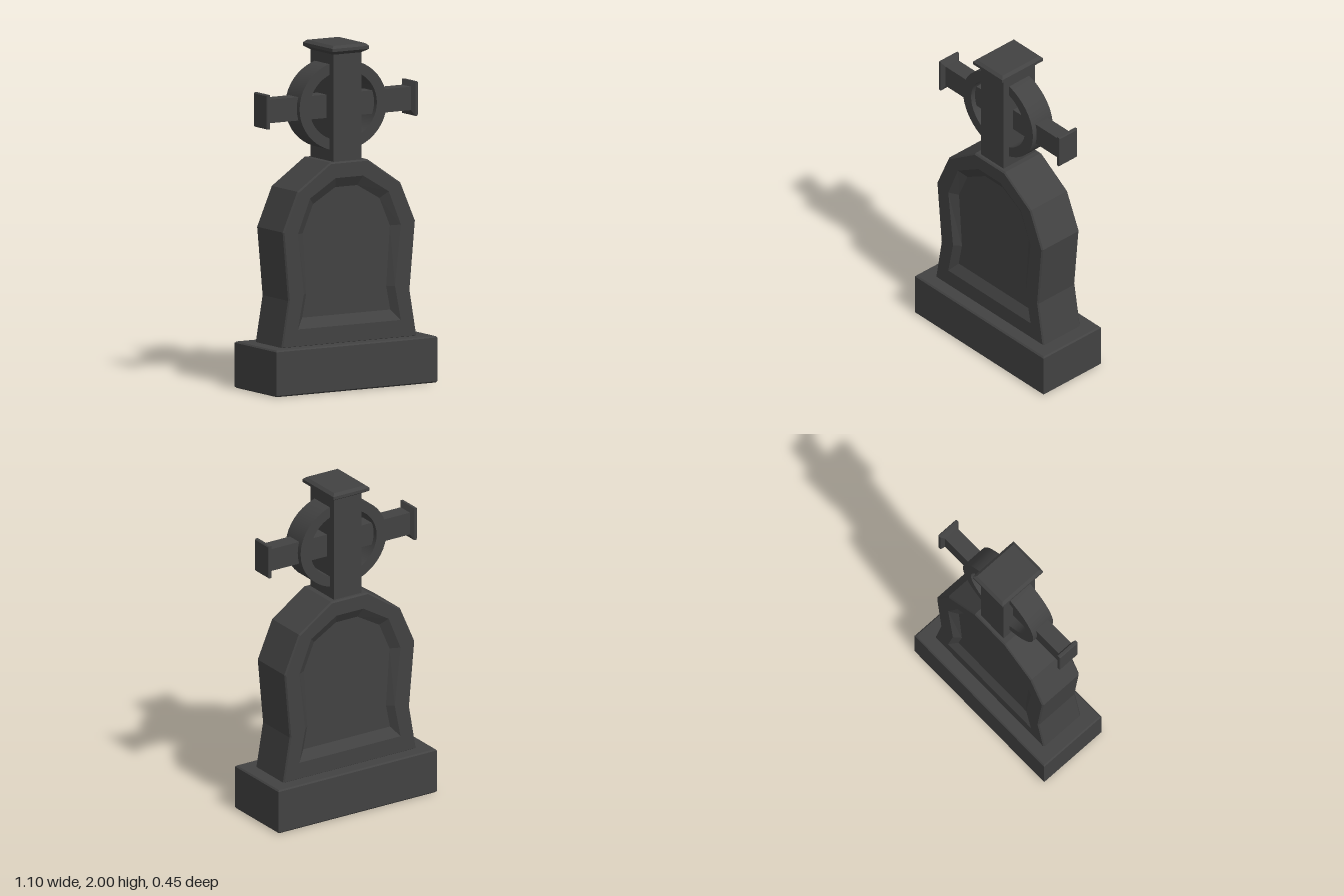
import * as THREE from 'three';
import { toCreasedNormals } from 'three/addons/utils/BufferGeometryUtils.js';

// Skin a stack of counter-clockwise loops [{ z, pts }] along z, with fan caps at both ends.
function loft(loops, centerY = 0) {
  const pos = [];
  const n = loops[0].pts.length;
  const at = (l, i) => [...l.pts[i % n], l.z];
  for (let k = 0; k < loops.length - 1; k++) {
    for (let i = 0; i < n; i++) {
      const a = at(loops[k], i), b = at(loops[k], i + 1);
      const c = at(loops[k + 1], i + 1), d = at(loops[k + 1], i);
      pos.push(...a, ...b, ...c, ...a, ...c, ...d);
    }
  }
  const first = loops[0], last = loops[loops.length - 1];
  for (let i = 0; i < n; i++) {
    pos.push(0, centerY, first.z, ...at(first, i + 1), ...at(first, i));
    pos.push(0, centerY, last.z, ...at(last, i), ...at(last, i + 1));
  }
  const geo = new THREE.BufferGeometry();
  geo.setAttribute('position', new THREE.Float32BufferAttribute(pos, 3));
  geo.computeVertexNormals();
  return geo;
}

// Rectangular sections [height, half width, half depth].
const rectStack = (rows) => loft(rows.map(([z, w, h]) => ({
  z, pts: [[w, -h], [w, h], [-w, h], [-w, -h]],
})));

// Mirror the right-hand half of an outline, listed from bottom to top.
const mirrored = (half) => [...half, ...half.slice().reverse().map(([x, y]) => [-x, y])];

export function createModel() {
  const group = new THREE.Group();
  const stone = new THREE.MeshStandardMaterial({ color: 0x424242 });
  stone.name = 'darkStone';
  const add = (name, geo) => {
    const mesh = new THREE.Mesh(geo, stone);
    mesh.name = name;
    group.add(mesh);
    return mesh;
  };

  // Plinth with a slight bevel
  add('plinth', rectStack([
    [0, 0.54, 0.217], [0.008, 0.548, 0.225], [0.262, 0.548, 0.225], [0.27, 0.54, 0.217],
  ]).rotateX(-Math.PI / 2));

  // Headstone with a sunken panel on both faces
  const outline = mirrored([[0.46, 0.265], [0.413, 0.54], [0.45, 0.94], [0.35, 1.17], [0.127, 1.322]]);
  const face = outline.map(([x, y]) => [x * 0.982, 0.75 + (y - 0.75) * 0.986]);
  const rim = mirrored([[0.35, 0.37], [0.31, 0.57], [0.35, 0.925], [0.268, 1.125], [0.093, 1.23]]);
  const floor = mirrored([[0.3, 0.43], [0.272, 0.57], [0.297, 0.92], [0.226, 1.085], [0.075, 1.172]]);
  add('headstone', loft([
    { z: -0.11, pts: floor }, { z: -0.145, pts: rim }, { z: -0.145, pts: face },
    { z: -0.137, pts: outline }, { z: 0.137, pts: outline },
    { z: 0.145, pts: face }, { z: 0.145, pts: rim }, { z: 0.11, pts: floor },
  ], 0.75));

  // Upright of the cross with its flared cap
  add('crossUpright', rectStack([
    [1.3, 0.095, 0.122], [1.945, 0.095, 0.122], [1.967, 0.125, 0.16],
    [1.985, 0.125, 0.16], [2, 0.108, 0.143],
  ]).rotateX(-Math.PI / 2));

  // Arms with flared ends
  const armHalf = [
    [0.48, 0.048, 0.068], [0.495, 0.071, 0.1], [0.51, 0.071, 0.1], [0.515, 0.066, 0.094],
  ];
  const arms = add('crossArms', rectStack([
    ...armHalf.slice().reverse().map(([z, w, h]) => [-z, w, h]), ...armHalf,
  ]).rotateY(Math.PI / 2));
  arms.position.y = 1.636;

  // Slightly flattened ring around the crossing
  const profile = [[0.229, -0.078], [0.297, -0.078], [0.297, 0.078], [0.229, 0.078], [0.229, -0.078]]
    .map(([x, y]) => new THREE.Vector2(x, y));
  const ringGeo = toCreasedNormals(new THREE.LatheGeometry(profile, 48), 0.6);
  ringGeo.rotateX(Math.PI / 2);
  const ring = add('crossRing', ringGeo);
  ring.scale.y = 0.885;
  ring.position.y = 1.637;

  return group;
}
